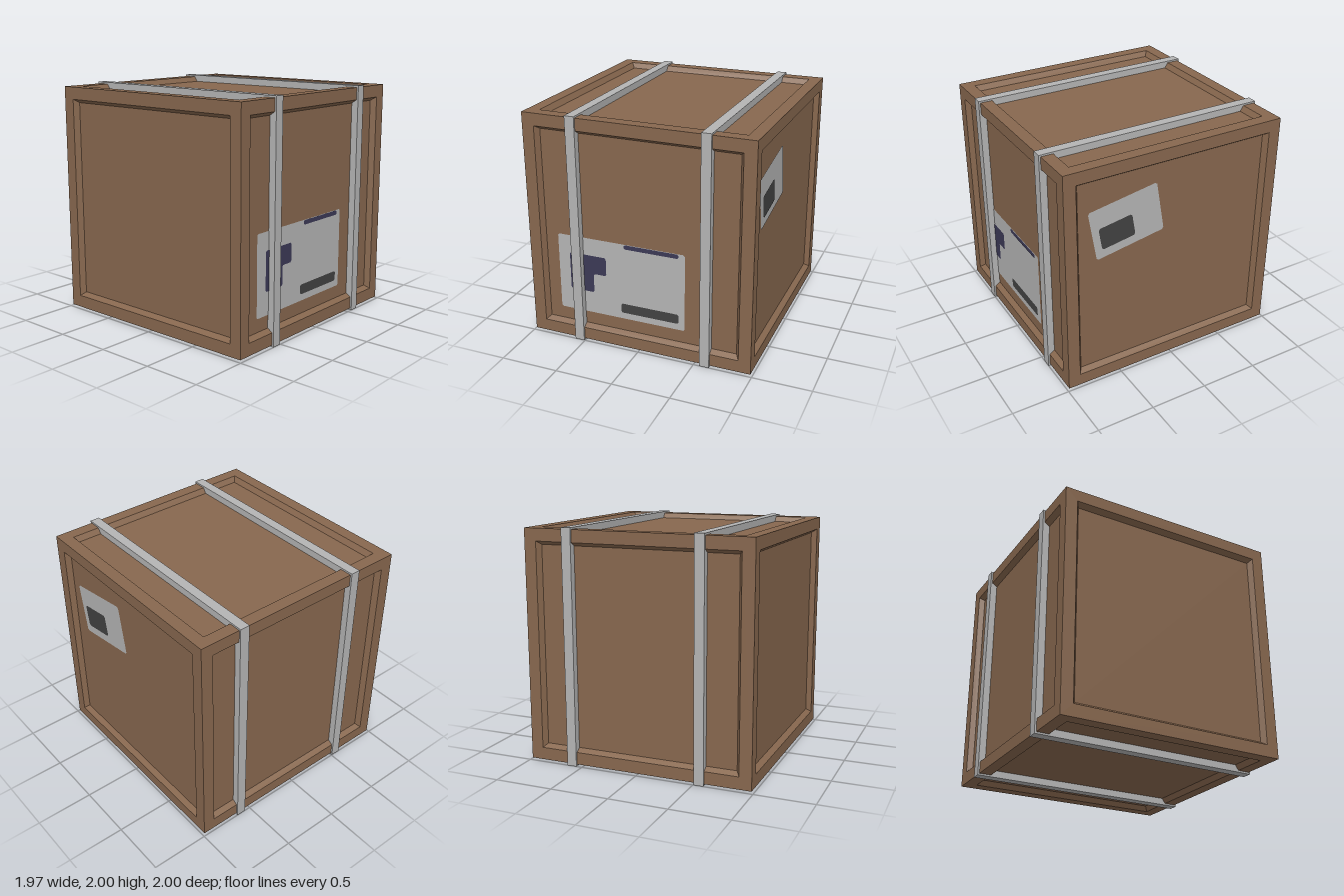
import * as THREE from 'three';

const HALF = 0.985;   // half width of the crate
const PANEL = 0.94;   // distance of the recessed panels from the centre

function material(name, color) {
  const m = new THREE.MeshStandardMaterial({ color });
  m.name = name;
  return m;
}

// One crate side facing +z: flat frame, sloping rim and recessed panel
function sideGeometry() {
  const loops = [[HALF, HALF], [0.88, HALF], [0.85, PANEL]].map(([r, z]) =>
    [[-r, -r, z], [r, -r, z], [r, r, z], [-r, r, z]]);
  const pos = [];
  const quad = (a, b, c, d) => pos.push(...a, ...b, ...c, ...a, ...c, ...d);
  for (let k = 0; k < 2; k++) {
    for (let i = 0; i < 4; i++) {
      const j = (i + 1) % 4;
      quad(loops[k][i], loops[k][j], loops[k + 1][j], loops[k + 1][i]);
    }
  }
  quad(...loops[2]);
  const g = new THREE.BufferGeometry();
  g.setAttribute('position', new THREE.Float32BufferAttribute(pos, 3));
  g.computeVertexNormals();
  return g;
}

// Flat polygon with slightly clipped corners
function clippedShape(points, clip) {
  const pts = [];
  const n = points.length;
  points.forEach(([x, y], i) => {
    const p = new THREE.Vector2(x, y);
    for (const q of [points[(i + n - 1) % n], points[(i + 1) % n]]) {
      const dir = new THREE.Vector2(q[0], q[1]).sub(p).normalize();
      pts.push(p.clone().addScaledVector(dir, clip));
    }
  });
  return new THREE.Shape(pts);
}

const rect = (x0, y0, x1, y1) => [[x0, y0], [x1, y0], [x1, y1], [x0, y1]];

export function createModel() {
  const wood = material('wood', 0x87674e);
  const grey = material('lightGrey', 0xb4b4b4);
  const dark = material('darkGrey', 0x424242);
  const blue = material('darkBlue', 0x3b3956);

  const model = new THREE.Group();
  model.name = 'crate';
  const add = (parent, name, geometry, mat) => {
    const mesh = new THREE.Mesh(geometry, mat);
    mesh.name = name;
    parent.add(mesh);
    return mesh;
  };
  const plate = (parent, name, points, clip, z, mat) => {
    const mesh = add(parent, name, new THREE.ShapeGeometry(clippedShape(points, clip)), mat);
    mesh.position.z = z;
    return mesh;
  };

  // Six identical wooden sides
  const side = sideGeometry();
  const q = Math.PI / 2;
  const sides = {
    frontSide: [0, 0], leftSide: [0, q], backSide: [0, 2 * q],
    rightSide: [0, -q], topSide: [-q, 0], bottomSide: [q, 0],
  };
  for (const [name, [rx, ry]] of Object.entries(sides)) {
    const mesh = add(model, name, side, wood);
    mesh.rotation.set(rx, ry, 0);
    mesh.position.y = 1;
  }

  // Two straps wrapped around the crate
  const ring = new THREE.Shape(rect(-1, -1, 1, 1).map(p => new THREE.Vector2(...p)));
  ring.holes.push(new THREE.Path(
    rect(-PANEL, -PANEL, PANEL, PANEL).reverse().map(p => new THREE.Vector2(...p))));
  const strapGeometry = new THREE.ExtrudeGeometry(ring, { depth: 0.084, bevelEnabled: false });
  strapGeometry.rotateY(q);
  for (const [name, x] of [['rightStrap', -0.59], ['leftStrap', 0.551]]) {
    add(model, name, strapGeometry, grey).position.set(x, 1, 0);
  }

  // Large front label with printed blocks
  const frontLabel = new THREE.Group();
  frontLabel.name = 'frontLabel';
  plate(frontLabel, 'labelSheet', rect(-0.737, 0.263, 0.402, 0.95), 0.012, 0.944, grey);
  plate(frontLabel, 'cornerBlock', [[-0.632, 0.46], [-0.415, 0.46], [-0.415, 0.632],
    [-0.298, 0.632], [-0.298, 0.797], [-0.632, 0.797]], 0.012, 0.948, blue);
  plate(frontLabel, 'topBar', rect(-0.13, 0.91, 0.348, 0.948), 0.01, 0.948, blue);
  plate(frontLabel, 'bottomBar', rect(-0.167, 0.32, 0.348, 0.405), 0.012, 0.948, dark);
  model.add(frontLabel);

  // Small tilted label on the left side
  const sideLabel = new THREE.Group();
  sideLabel.name = 'sideLabel';
  plate(sideLabel, 'labelSheet', rect(-0.308, -0.222, 0.308, 0.222), 0.015, 0, grey);
  plate(sideLabel, 'labelBlock', rect(-0.248, -0.148, 0.053, 0.048), 0.015, 0.004, dark);
  sideLabel.position.set(0.944, 1.423, 0.425);
  sideLabel.rotation.set(0, q, THREE.MathUtils.degToRad(9.6));
  model.add(sideLabel);

  return model;
}
